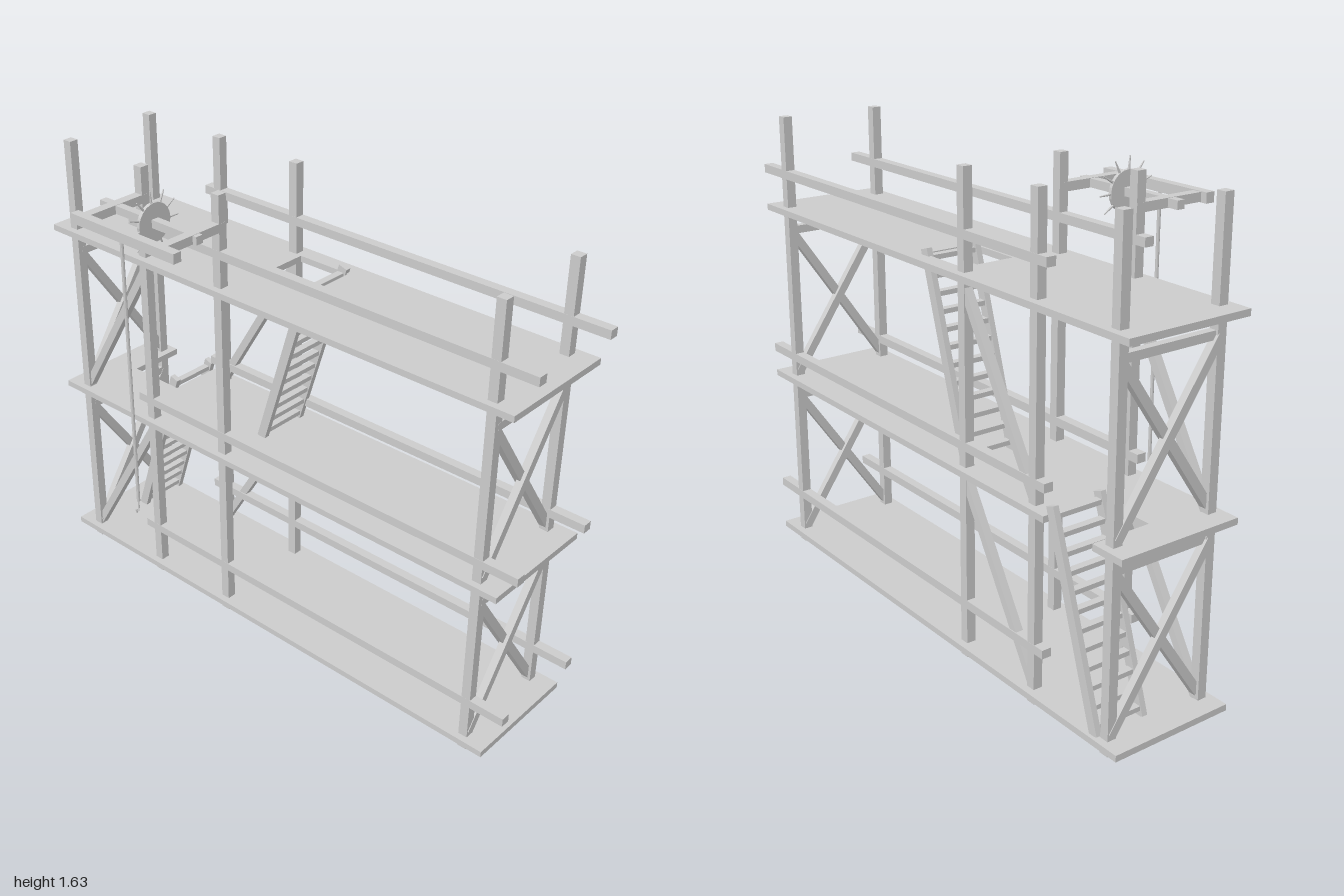
import * as THREE from 'three';

const mat = new THREE.MeshStandardMaterial({ color: 0xcccccc, flatShading: true });
const V = (x, y, z) => new THREE.Vector3(x, y, z);

function add(parent, name, geo) {
  const m = new THREE.Mesh(geo, mat);
  m.name = name;
  parent.add(m);
  return m;
}

// Straight timber from a to b; w is the horizontal width, h the other
function beam(parent, name, a, b, w, h = w) {
  const m = add(parent, name, new THREE.BoxGeometry(w, h, a.distanceTo(b)));
  m.position.copy(a).add(b).multiplyScalar(0.5);
  if (Math.abs(b.x - a.x) + Math.abs(b.z - a.z) > 1e-6) m.lookAt(b);
  else m.rotation.x = Math.PI / 2;
  return m;
}

// Deck board from an outline of [x, z] points and an optional hatch
function deck(parent, name, top, outline, hatch) {
  const toV2 = (pts) => pts.map(([x, z]) => new THREE.Vector2(x, z));
  const shape = new THREE.Shape(toV2(outline));
  if (hatch) shape.holes.push(new THREE.Path(toV2(hatch)));
  const geo = new THREE.ExtrudeGeometry(shape, { depth: 0.022, bevelEnabled: false });
  geo.rotateX(Math.PI / 2);
  add(parent, name, geo).position.y = top;
}

function ladder(name, a, b, z0, z1, rungs) {
  const g = new THREE.Group();
  g.name = name;
  for (const z of [z0, z1]) beam(g, 'ladderStringer', V(a[0], a[1], z), V(b[0], b[1], z), 0.02, 0.034);
  for (let i = 0; i < rungs; i++) {
    const t = (i + 0.5) / rungs;
    const x = a[0] + (b[0] - a[0]) * t, y = a[1] + (b[1] - a[1]) * t;
    beam(g, 'ladderRung', V(x, y, z0), V(x, y, z1), 0.026, 0.016);
  }
  return g;
}

function hoist() {
  const g = new THREE.Group();
  g.name = 'hoist';
  const y = 1.52, z = 0.183, x = -0.39;
  for (const ax of [-0.57, -0.218]) beam(g, 'hoistArm', V(ax, y, 0.05), V(ax, y, 0.33), 0.034, 0.03);
  beam(g, 'hoistFrontBar', V(-0.61, y, 0.32), V(-0.142, y, 0.32), 0.032, 0.034);
  beam(g, 'hoistAxle', V(-0.628, y, z), V(-0.185, y, z), 0.028);

  // Spoked winding wheel
  const wheel = new THREE.Group();
  wheel.name = 'windingWheel';
  wheel.position.set(x, y, z);
  add(wheel, 'wheelDisc', new THREE.CylinderGeometry(0.067, 0.067, 0.012, 24)).rotation.z = Math.PI / 2;
  for (let i = 0; i < 11; i++) {
    const a = (i / 11) * Math.PI * 2 + 0.1;
    const s = add(wheel, 'wheelHandle', new THREE.CylinderGeometry(0.002, 0.005, 0.05, 6));
    s.position.set(0, Math.cos(a) * 0.083, Math.sin(a) * 0.083);
    s.rotation.x = a;
  }
  g.add(wheel);

  // Rope and hook
  const rope = add(g, 'rope', new THREE.CylinderGeometry(0.006, 0.006, 0.99, 8));
  rope.position.set(-0.386, 1.02, 0.325);
  const hookPath = new THREE.CatmullRomCurve3([
    V(-0.386, 0.53, 0.325), V(-0.386, 0.495, 0.326), V(-0.386, 0.484, 0.331),
    V(-0.386, 0.487, 0.337), V(-0.386, 0.498, 0.337)]);
  add(g, 'hook', new THREE.TubeGeometry(hookPath, 12, 0.003, 6));
  return g;
}

export function createModel() {
  const root = new THREE.Group();
  root.name = 'scaffold';
  const postX = [-0.918, -0.57, -0.218, 0.855];
  const zF = 0.064, zB = -0.3;
  const x0 = -1, x1 = 0.945, zn = -0.342, zp = 0.104;

  // Upright posts
  for (const x of postX) for (const z of [zF, zB]) beam(root, 'post', V(x, 0, z), V(x, 1.63, z), 0.033);

  // Decks: plain, notched for the lower ladder, and with a hatch for the upper one
  const plain = [[x0, zn], [x1, zn], [x1, zp], [x0, zp]];
  const notched = [[x0, zn], [-0.875, zn], [-0.875, -0.13], [-0.655, -0.13], [-0.655, zn],
    [x1, zn], [x1, zp], [x0, zp]];
  const hatch = [[-0.18, -0.283], [0.028, -0.283], [0.028, -0.092], [-0.18, -0.092]];
  deck(root, 'lowerDeck', 0.052, plain);
  deck(root, 'middleDeck', 0.678, notched);
  deck(root, 'upperDeck', 1.31, plain, hatch);

  // Guard rails
  for (const y of [0.195, 0.748, 1.427])
    for (const z of [zF, zB]) beam(root, 'guardRail', V(-0.627, y, z), V(0.998, y, z), 0.034, 0.03);

  for (const y of [0.055, 0.683]) {
    // Diagonal braces along the long sides
    beam(root, 'frontBrace', V(-0.918, y, zF - 0.005), V(-0.57, y + 0.58, zF - 0.005), 0.028);
    beam(root, 'backBrace', V(-0.57, y, zB), V(-0.218, y + 0.58, zB), 0.028);
    // Crossed braces and tie beam at both ends
    for (const x of [postX[0], postX[3]]) {
      beam(root, 'endBrace', V(x + 0.006, y + 0.01, zF), V(x + 0.006, y + 0.54, zB), 0.026, 0.03);
      beam(root, 'endBrace', V(x - 0.006, y + 0.54, zF), V(x - 0.006, y + 0.01, zB), 0.026, 0.03);
      beam(root, 'endTie', V(x + 0.004, y + 0.542, zF), V(x + 0.004, y + 0.542, zB), 0.026, 0.028);
    }
  }

  root.add(ladder('lowerLadder', [-0.885, 0.05], [-0.67, 0.712], -0.14, -0.32, 12));
  root.add(ladder('upperLadder', [-0.193, 0.675], [0.01, 1.33], -0.102, -0.285, 12));
  root.add(hoist());
  return root;
}
